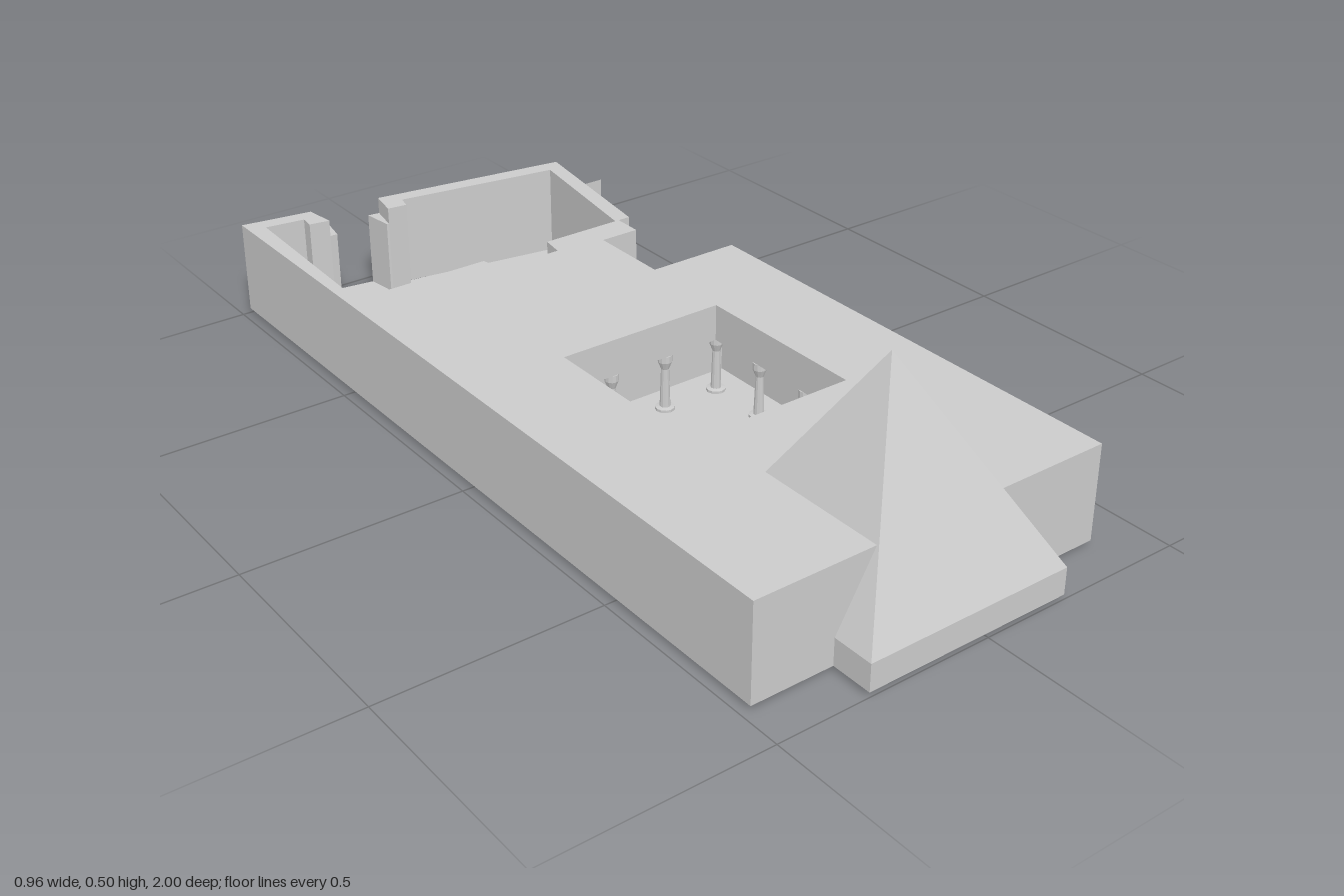
import * as THREE from 'three';
import { mergeGeometries } from 'three/addons/utils/BufferGeometryUtils.js';

const mat = new THREE.MeshStandardMaterial({ color: 0xcccccc, flatShading: true, side: THREE.DoubleSide });
const FLOOR = 0.011, TOP = 0.23, CEIL = 0.145;

const rect = (x0, x1, z0, z1) => [[x0, z0], [x0, z1], [x1, z1], [x1, z0]];

// flat horizontal plate from [x, z] points
function plate(points, y, holes = []) {
  const v = (list) => list.map(([x, z]) => new THREE.Vector2(x, -z));
  const shape = new THREE.Shape(v(points));
  holes.forEach((h) => shape.holes.push(new THREE.Path(v(h))));
  return new THREE.ShapeGeometry(shape).rotateX(-Math.PI / 2).translate(0, y, 0).toNonIndexed();
}

// vertical wall faces following a closed [x, z] outline (counter-clockwise from above)
function ribbon(points, y0, y1) {
  const pos = [], uv = [];
  points.forEach(([ax, az], i) => {
    const [bx, bz] = points[(i + 1) % points.length];
    pos.push(ax, y0, az, bx, y0, bz, bx, y1, bz, ax, y0, az, bx, y1, bz, ax, y1, az);
    uv.push(0, 0, 1, 0, 1, 1, 0, 0, 1, 1, 0, 1);
  });
  const g = new THREE.BufferGeometry();
  g.setAttribute('position', new THREE.Float32BufferAttribute(pos, 3));
  g.setAttribute('uv', new THREE.Float32BufferAttribute(uv, 2));
  g.computeVertexNormals();
  return g;
}

// masonry block that is open underneath
const block = (points, y0, y1) => mergeGeometries([ribbon(points, y0, y1), plate(points, y1)]);

export function createModel() {
  const model = new THREE.Group();
  const add = (name, geometry, x = 0, y = 0, z = 0) => {
    const mesh = new THREE.Mesh(geometry, mat);
    mesh.name = name;
    mesh.position.set(x, y, z);
    model.add(mesh);
    return mesh;
  };

  // roofed main building with a door recess towards the rear hall
  const outline = [
    [-0.48, -0.49], [-0.48, 0.905], [0.377, 0.905], [0.377, -0.22], [0.155, -0.22], [0.155, -0.42],
    [0.25, -0.42], [0.25, -0.49], [0.045, -0.49], [0.037, -0.435], [-0.12, -0.435], [-0.128, -0.49],
  ];
  const court = rect(-0.245, 0.155, 0.003, 0.425);
  add('outerWalls', ribbon(outline, FLOOR, TOP));
  add('roof', plate(outline, TOP, [court]));

  // open court: beam above the columns, covered walk and its back wall
  const walk = rect(-0.33, 0.24, -0.08, 0.505);
  add('courtBeam', ribbon([...court].reverse(), CEIL, TOP));
  add('walkCeiling', plate(walk, CEIL, [court]));
  add('walkWall', ribbon([...walk].reverse(), FLOOR, CEIL));
  add('courtPaving', new THREE.BoxGeometry(0.375, 0.014, 0.4), -0.047, 0.007, 0.217);

  // columns around the court, with disc base and flared capital
  const profile = [[0, 0], [0.022, 0], [0.022, 0.006], [0.012, 0.008], [0.009, 0.1], [0.016, 0.118], [0.016, 0.134], [0, 0.134]]
    .map(([r, y]) => new THREE.Vector2(r, y));
  const column = new THREE.LatheGeometry(profile, 12);
  for (let i = 0; i < 4; i++) {
    for (let j = 0; j < 4; j++) {
      if (i % 3 && j % 3) continue;
      add('courtColumn', column, -0.258 + i * 0.142, FLOOR, -0.01 + j * 0.15);
    }
  }

  // rear hall without a roof: two wall pieces beside a doorway
  add('hallWallRight', block([
    [-0.48, -1], [-0.48, -0.49], [-0.455, -0.49], [-0.44, -0.955], [-0.347, -0.942],
    [-0.35, -0.908], [-0.302, -0.9], [-0.312, -0.974],
  ], FLOOR, TOP));
  add('hallWallLeft', block([
    [0.335, -0.88], [-0.142, -0.949], [-0.155, -0.878], [-0.108, -0.872], [-0.1, -0.905],
    [0.293, -0.845], [0.24, -0.49], [0.28, -0.49],
  ], FLOOR, TOP));
  // lower door jambs
  add('doorJambRight', block([[-0.312, -0.974], [-0.302, -0.9], [-0.284, -0.9], [-0.272, -0.968]], FLOOR, 0.19));
  add('doorJambLeft', block([[-0.17, -0.953], [-0.16, -0.88], [-0.155, -0.878], [-0.142, -0.949]], FLOOR, 0.19));

  // floor, leaving the solid masonry and wall feet open underneath
  add('floor', plate([
    [-0.445, -0.955], [-0.312, -0.974], [-0.16, -0.952], [-0.145, -0.91], [0.3, -0.85], [0.245, -0.45],
    [0.15, -0.43], [0.15, -0.21], [0.365, -0.21], [0.365, 0.88], [-0.445, 0.88],
  ], FLOOR, [
    rect(-0.28, -0.13, -0.4, -0.29), rect(-0.06, 0.08, -0.25, -0.19),
    rect(-0.27, -0.13, 0.56, 0.7), rect(-0.24, 0.14, 0.715, 0.87),
  ]));
  add('entrancePaving', new THREE.BoxGeometry(0.235, 0.012, 0.11), -0.043, 0.006, 0.785);

  // pyramid on a low square base at the front
  const half = 0.245, cx = -0.046, cz = 0.755, baseTop = 0.072, apex = 0.503;
  const pyramid = new THREE.ConeGeometry(half * Math.SQRT2, apex - baseTop, 4, 1, true).rotateY(Math.PI / 4);
  add('pyramid', pyramid, cx, (apex + baseTop) / 2, cz);
  add('pyramidBase', ribbon(rect(cx - half, cx + half, cz - half, cz + half), FLOOR, baseTop));

  // thin upright slab standing apart at the rear
  add('standingSlab', new THREE.PlaneGeometry(0.055, 0.13), 0.453, 0.076, -0.89);
  return model;
}
